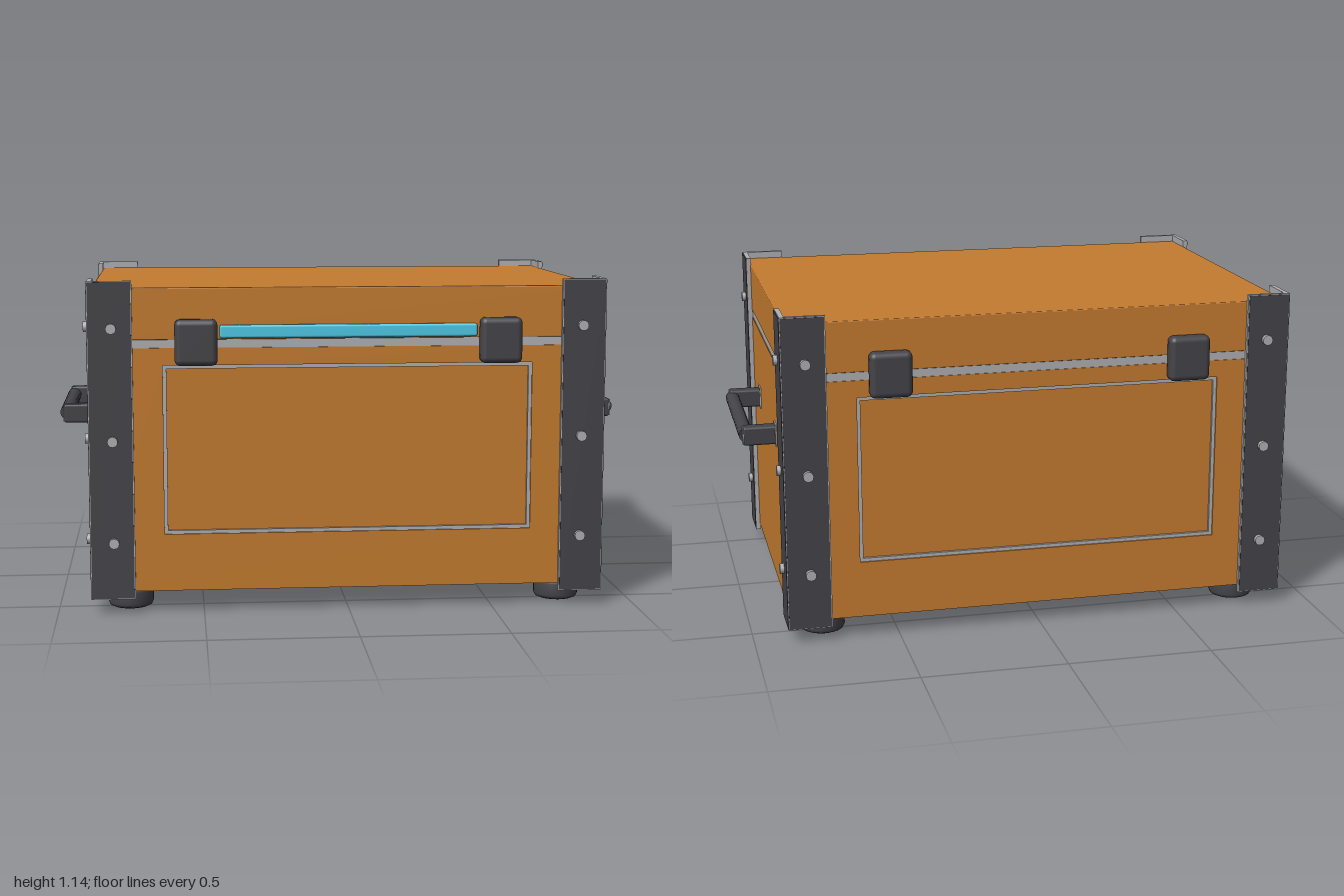
import * as THREE from 'three';
import { RoundedBoxGeometry } from 'three/addons/geometries/RoundedBoxGeometry.js';

export function createModel() {
  const root = new THREE.Group();
  root.name = 'storageCrate';
  const mat = (name, color) => {
    const m = new THREE.MeshStandardMaterial({ color });
    m.name = name;
    return m;
  };
  const wood = mat('wood', 0xc47b2f);
  const dark = mat('darkMetal', 0x444348);
  const steel = mat('steel', 0xb0b0b3);
  const cyan = mat('cyanLight', 0x4dcbe8);

  const add = (name, geo, material, x = 0, y = 0, z = 0) => {
    const m = new THREE.Mesh(geo, material);
    m.name = name;
    m.position.set(x, y, z);
    root.add(m);
    return m;
  };
  const box = (w, h, d) => new THREE.BoxGeometry(w, h, d);
  const points = (list) => list.map(([x, y]) => new THREE.Vector2(x, y));
  const extrude = (shape, depth) => new THREE.ExtrudeGeometry(shape, { depth, bevelEnabled: false });
  const signs = [-1, 1];

  // Body core and lid, with a steel seam strip between them
  add('bodyCore', box(1.74, 0.837, 1.19), wood, 0, 0.4935, 0);
  add('seamStrip', box(1.734, 0.03, 1.214), steel, 0, 0.926, 0);
  add('lid', new RoundedBoxGeometry(1.74, 0.176, 1.22, 2, 0.004), wood, 0, 1.028, 0);

  // Front and back frames around a sunken panel, lined with a steel edge
  const rect = (x, y0, y1) => points([[-x, y0], [x, y0], [x, y1], [-x, y1]]);
  const frame = new THREE.Shape(rect(0.87, 0.075, 0.912));
  frame.holes.push(new THREE.Path(rect(0.633, 0.272, 0.853)));
  const liner = new THREE.Shape(rect(0.633, 0.272, 0.853));
  liner.holes.push(new THREE.Path(rect(0.621, 0.284, 0.841)));
  const frameGeo = extrude(frame, 0.015);
  const linerGeo = extrude(liner, 0.01);
  for (const s of signs) {
    const turn = s > 0 ? 0 : Math.PI;
    add('panelFrame', frameGeo, wood, 0, 0, s * 0.595).rotation.y = turn;
    add('panelLiner', linerGeo, steel, 0, 0, s * 0.595).rotation.y = turn;
  }

  // Rounded foot profile
  const footGeo = new THREE.LatheGeometry(points([
    [0, 0], [0.062, 0], [0.073, 0.005], [0.078, 0.016],
    [0.078, 0.056], [0.073, 0.067], [0.062, 0.076], [0, 0.076],
  ]), 28);
  const boltGeo = new THREE.CylinderGeometry(0.018, 0.018, 0.03, 12);
  boltGeo.rotateX(Math.PI / 2);

  for (const sx of signs) for (const sz of signs) {
    // L-shaped steel corner bracket whose edges frame its dark outer skins
    const angle = new THREE.Shape(points([
      [0.885, 0.623], [0.734, 0.623], [0.734, 0.608],
      [0.868, 0.608], [0.868, 0.472], [0.885, 0.472],
    ].map(([x, z]) => [sx * x, -sz * z])));
    add('cornerBracket', extrude(angle, 1.09).rotateX(-Math.PI / 2), steel, 0, 0.05, 0);
    add('bracketSkin', box(0.145, 1.083, 0.006), dark, sx * 0.8105, 0.595, sz * 0.622);
    add('bracketSkin', box(0.006, 1.083, 0.145), dark, sx * 0.884, 0.595, sz * 0.5485);

    // Bolts on both faces of the bracket
    for (const y of [0.247, 0.597, 0.98]) {
      add('bolt', boltGeo, steel, sx * 0.805, y, sz * 0.625);
      add('bolt', boltGeo, steel, sx * 0.886, y, sz * 0.54).rotation.y = Math.PI / 2;
    }
    add('foot', footGeo, dark, sx * 0.753, 0, sz * 0.488);

    // Clasps in front, hinges behind
    add(sz > 0 ? 'clasp' : 'hinge', new RoundedBoxGeometry(0.145, 0.157, 0.056, 3, 0.02),
      dark, sx * 0.52, 0.932, sz * 0.627);

    // Handle mount with steel base plate and end cap
    add('handlePlate', box(0.01, 0.08, 0.062), steel, sx * 0.87, 0.649, sz * 0.263);
    add('handleMount', new RoundedBoxGeometry(0.12, 0.066, 0.05, 2, 0.008),
      dark, sx * 0.926, 0.649, sz * 0.262);
    add('handleMountEnd', box(0.004, 0.058, 0.044), steel, sx * 0.986, 0.649, sz * 0.263);
  }

  // Side handle grips
  const gripGeo = new THREE.CylinderGeometry(0.025, 0.025, 0.53, 16);
  gripGeo.rotateX(Math.PI / 2);
  for (const sx of signs) add('handleGrip', gripGeo, dark, sx * 0.975, 0.651, 0);

  // Glowing strip between the clasps
  add('lightStrip', new RoundedBoxGeometry(0.88, 0.045, 0.03, 2, 0.008), cyan, 0, 0.967, 0.611);

  return root;
}
